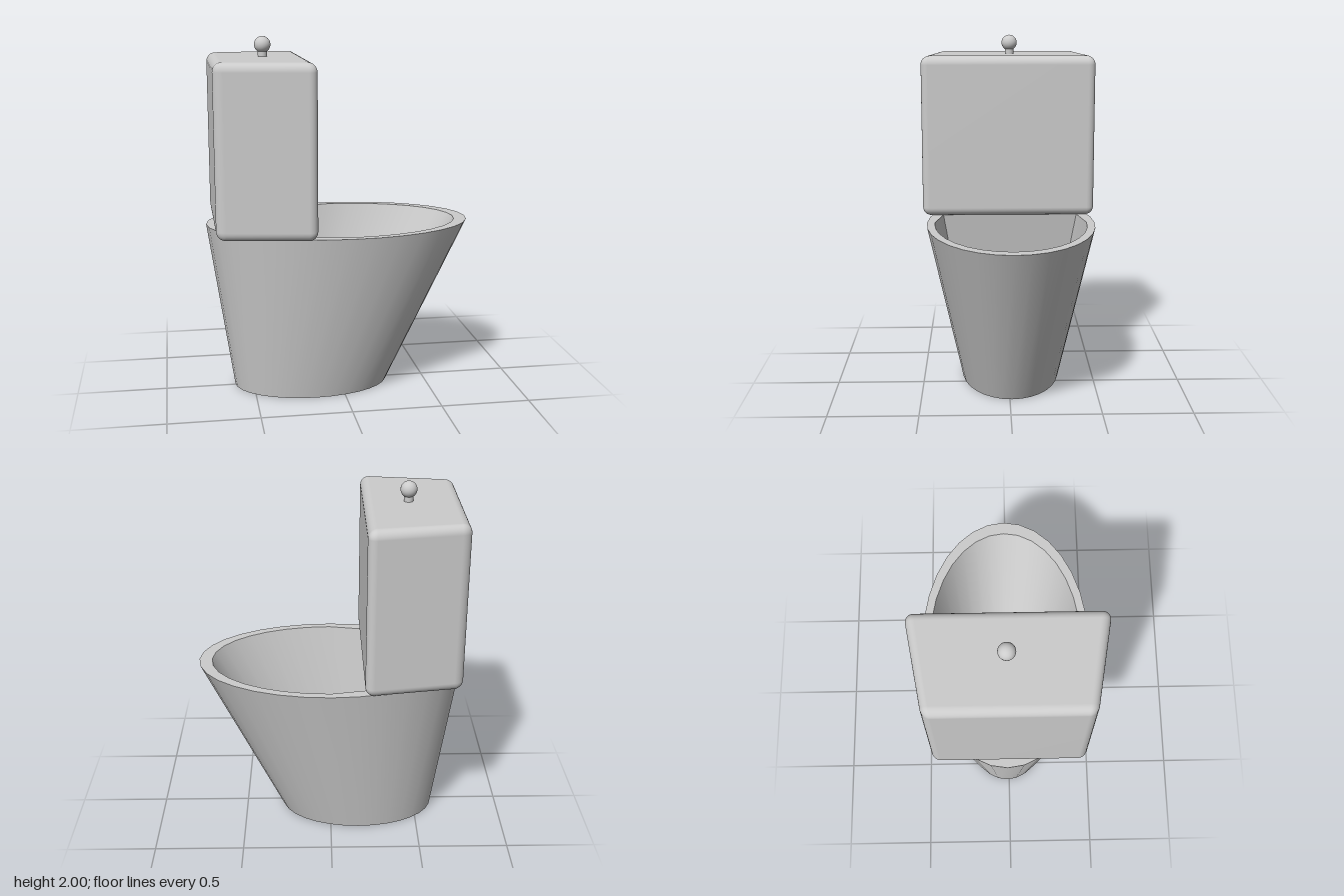
import * as THREE from 'three';
import { toCreasedNormals, mergeVertices } from 'three/addons/utils/BufferGeometryUtils.js';
import { RoundedBoxGeometry } from 'three/addons/geometries/RoundedBoxGeometry.js';

const RIM_Y = 0.96, FLOOR_Y = 0.15, MID_Z = -0.012;
const grey = new THREE.MeshStandardMaterial({ color: 0xcccccc });

function add(parent, name, geometry, x = 0, y = 0, z = 0) {
  const mesh = new THREE.Mesh(geometry, grey);
  mesh.name = name;
  mesh.position.set(x, y, z);
  parent.add(mesh);
  return mesh;
}

// Full ellipse outline, counterclockwise from above (second coordinate is -z).
function ellipse(cx, rx, rz, n = 32) {
  return Array.from({ length: n }, (_, i) => {
    const a = (i / n) * Math.PI * 2;
    return new THREE.Vector2(cx + rx * Math.cos(a), rz * Math.sin(a));
  });
}

// Half ellipse towards +x, closed by a tapered straight back.
function basinOutline(cx, rx, rz, backX, backZ, n = 16) {
  const points = [];
  for (let i = 0; i <= n; i++) {
    const a = -Math.PI / 2 + (i / n) * Math.PI;
    points.push(new THREE.Vector2(cx + rx * Math.cos(a), rz * Math.sin(a)));
  }
  points.push(new THREE.Vector2(backX, backZ), new THREE.Vector2(backX, -backZ));
  return points;
}

// Wall between two outlines at heights ya and yb; faces outward when ya < yb.
function wall(a, ya, b, yb) {
  const n = a.length, positions = [], index = [];
  a.forEach((p) => positions.push(p.x, ya, -p.y));
  b.forEach((p) => positions.push(p.x, yb, -p.y));
  for (let i = 0; i < n; i++) {
    const j = (i + 1) % n;
    index.push(i, j, n + j, i, n + j, n + i);
  }
  const g = new THREE.BufferGeometry();
  g.setAttribute('position', new THREE.Float32BufferAttribute(positions, 3));
  g.setIndex(index);
  return toCreasedNormals(g, 0.6);
}

// Flat horizontal face, optionally with a hole.
function plate(outline, hole, down = false) {
  const shape = new THREE.Shape(outline);
  if (hole) shape.holes.push(new THREE.Path(hole));
  const g = new THREE.ShapeGeometry(shape);
  if (down) {
    const ix = g.index.array;
    for (let i = 0; i < ix.length; i += 3) [ix[i], ix[i + 1]] = [ix[i + 1], ix[i]];
    g.computeVertexNormals();
  }
  return g.rotateX(-Math.PI / 2);
}

export function createModel() {
  const model = new THREE.Group();
  model.name = 'toilet';

  // Bowl: flared oval body with a hollow basin
  const bowl = new THREE.Group();
  bowl.name = 'bowl';
  bowl.position.z = MID_Z;
  model.add(bowl);
  const foot = ellipse(-0.162, 0.443, 0.284);
  const rim = ellipse(-0.002, 0.747, 0.478);
  const basinTop = basinOutline(0, 0.673, 0.433, -0.22, 0.393);
  const basinFloor = basinOutline(-0.16, 0.385, 0.288, -0.35, 0.262);
  add(bowl, 'bowlOuterWall', wall(foot, 0, rim, RIM_Y));
  add(bowl, 'bowlBase', plate(foot, null, true));
  add(bowl, 'bowlRim', plate(rim, basinTop), 0, RIM_Y);
  add(bowl, 'basinWall', wall(basinTop, RIM_Y, basinFloor, FLOOR_Y));
  add(bowl, 'basinFloor', plate(basinFloor), 0, FLOOR_Y);

  // Tank: rounded box, narrower towards the back (-x)
  const width = 0.53, height = 0.932;
  let tank = new RoundedBoxGeometry(width, height, 1.02, 5, 0.05);
  const p = tank.attributes.position;
  for (let i = 0; i < p.count; i++) {
    const t = p.getX(i) / width + 0.5;
    p.setZ(i, p.getZ(i) * THREE.MathUtils.lerp(0.82, 1, t));
  }
  tank.deleteAttribute('normal');
  tank.deleteAttribute('uv');
  tank = mergeVertices(tank, 1e-4);
  tank.computeVertexNormals();
  add(model, 'tank', tank, -0.445, 1.424, -0.002);

  // Flush knob on its stem
  add(model, 'knobStem', new THREE.CylinderGeometry(0.025, 0.025, 0.08, 24), -0.418, 1.91, MID_Z);
  add(model, 'flushKnob', new THREE.SphereGeometry(0.045, 32, 20), -0.418, 1.955, MID_Z);

  return model;
}
